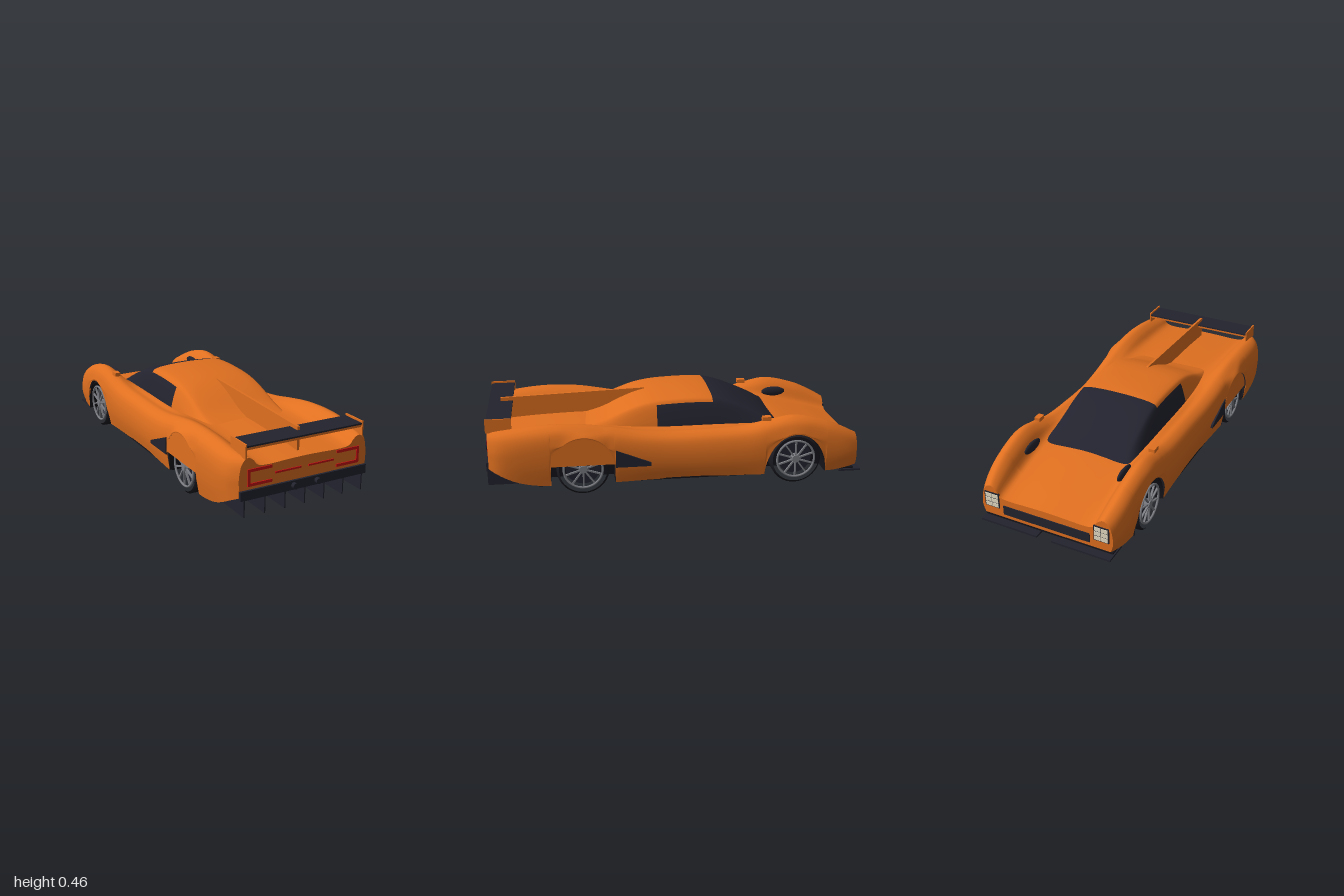
import * as THREE from 'three';

const mat = (name, color, side = THREE.FrontSide) => {
  const m = new THREE.MeshStandardMaterial({ color, side });
  m.name = name;
  return m;
};

// Smooth interpolation through [z, value] keys
function track(keys) {
  const slope = i => {
    const a = keys[Math.max(i - 1, 0)], b = keys[Math.min(i + 1, keys.length - 1)];
    return (b[1] - a[1]) / (b[0] - a[0]);
  };
  return z => {
    let i = 0;
    while (i < keys.length - 2 && z > keys[i + 1][0]) i++;
    const [z0, v0] = keys[i], [z1, v1] = keys[i + 1], h = z1 - z0;
    const t = Math.min(Math.max((z - z0) / h, 0), 1), t2 = t * t, t3 = t2 * t;
    return (2 * t3 - 3 * t2 + 1) * v0 + (t3 - 2 * t2 + t) * h * slope(i)
      + (3 * t2 - 2 * t3) * v1 + (t3 - t2) * h * slope(i + 1);
  };
}

// Skin rows of points; pick(row, column) chooses the material group
function skin(rows, pick = () => 0) {
  const n = rows[0].length, lists = [[], []];
  for (let i = 0; i < rows.length - 1; i++) {
    for (let j = 0; j < n - 1; j++) {
      const a = i * n + j, b = a + n;
      lists[pick(i, j)].push(a, a + 1, b, a + 1, b + 1, b);
    }
  }
  const g = new THREE.BufferGeometry().setFromPoints(rows.flat());
  g.setIndex([...lists[0], ...lists[1]]);
  g.addGroup(0, lists[0].length, 0);
  g.addGroup(lists[0].length, lists[1].length, 1);
  g.computeVertexNormals();
  return g;
}

// Mirror a half section (outer edge to centre) and smooth it
function section(half, z, steps) {
  const pts = half.map(p => new THREE.Vector2(...p));
  const other = half.slice(0, -1).reverse().map(([x, y]) => new THREE.Vector2(-x, y));
  return new THREE.SplineCurve([...pts, ...other]).getPoints(steps).map(p => new THREE.Vector3(p.x, p.y, z));
}

export function createModel() {
  const car = new THREE.Group();
  const paint = mat('orange paint', 0xe07020, THREE.DoubleSide);
  const dark = mat('dark trim', 0x23232f, THREE.DoubleSide);
  const under = mat('black underside', 0x15151b, THREE.DoubleSide);
  const tyreMat = mat('tyre rubber', 0x1b1b22);
  const metal = mat('wheel grey', 0x7c7e84);
  const red = mat('tail light red', 0xcc1212);
  const cream = mat('headlight cream', 0xe2dac2);

  const add = (name, geo, material, x = 0, y = 0, z = 0, parent = car) => {
    const m = new THREE.Mesh(geo, material);
    m.name = name;
    m.position.set(x, y, z);
    parent.add(m);
    return m;
  };
  // Box given by its limits
  const box = (name, m, x0, x1, y0, y1, z0, z1) => add(name,
    new THREE.BoxGeometry(Math.abs(x1 - x0), y1 - y0, z1 - z0), m, (x0 + x1) / 2, (y0 + y1) / 2, (z0 + z1) / 2);
  // Plate drawn in [z, y], with its thickness along x
  const sidePlate = (name, m, pts, x, depth) => {
    const g = new THREE.ExtrudeGeometry(new THREE.Shape(pts.map(([z, y]) => new THREE.Vector2(-z, y))),
      { depth, bevelEnabled: false });
    g.rotateY(Math.PI / 2).translate(x - depth / 2, 0, 0);
    return add(name, g, m);
  };

  // Body shell, with wheel arches cut into its lower edge
  const arches = [{ z: -0.63, base: 0.06, h: 0.22 }, { z: 0.49, base: 0.145, h: 0.165 }];
  const R = 0.165, Z0 = -0.972, Z1 = 0.968;
  const width = track([[Z0, 0.362], [-0.93, 0.377], [-0.85, 0.39], [-0.6, 0.401], [-0.3, 0.39], [0, 0.386],
    [0.25, 0.395], [0.5, 0.405], [0.8, 0.403], [0.92, 0.386], [Z1, 0.354]]);
  const fender = track([[Z0, 0.247], [-0.9, 0.287], [-0.8, 0.332], [-0.63, 0.37], [-0.5, 0.35], [-0.36, 0.316],
    [-0.15, 0.304], [0.05, 0.302], [0.2, 0.317], [0.35, 0.345], [0.5, 0.368], [0.7, 0.372], [Z1, 0.343]]);
  const deck = track([[Z0, 0.185], [-0.8, 0.235], [-0.56, 0.287], [-0.3, 0.298], [0.1, 0.3], [0.4, 0.318], [0.7, 0.312], [Z1, 0.293]]);
  const hem = track([[Z0, 0.078], [-0.82, 0.06], [0, 0.06], [0.66, 0.06], [0.82, 0.085], [Z1, 0.155]]);
  const bottom = z => {
    for (const a of arches) {
      const u = (z - a.z) / R;
      if (Math.abs(u) <= 1) return a.base + a.h * Math.sqrt(Math.max(0, 1 - u * u));
    }
    return hem(z);
  };
  const stations = [];
  for (let i = 0; i <= 64; i++) {
    const z = Z0 + (Z1 - Z0) * i / 64;
    if (arches.every(a => Math.abs(z - a.z) > R + 0.002)) stations.push(z);
  }
  for (const a of arches) {
    stations.push(a.z - R - 0.001, a.z + R + 0.001);
    for (let i = 0; i <= 24; i++) stations.push(a.z - 0.99999 * R * Math.cos(Math.PI * i / 24));
  }
  stations.sort((a, b) => a - b);
  const bodyRows = stations.map(z => {
    const W = width(z), F = fender(z), D = deck(z), b = bottom(z), m = Math.max(F - 0.09, b + 0.012);
    const across = t => 0.25 + (W - 0.25) * t;
    const tuck = 0.016 * Math.min(1, Math.max(0, (0.15 - b) / 0.09));
    return section([[W - tuck, b], [W, (m + b) / 2], [W, m], [across(0.87), F - 0.028], [across(0.57), F],
      [across(0.28), D + (F - D) * 0.7], [0.255, D + 0.008], [0.2, D], [0.1, D + 0.003], [0, D + 0.005]], z, 72);
  });
  add('bodyShell', skin(bodyRows), paint);
  const cap = row => new THREE.ShapeGeometry(new THREE.Shape(row.map(p => new THREE.Vector2(p.x, p.y))));
  add('tailPanel', cap(bodyRows.at(-1)), paint, 0, 0, Z1);
  const mirrored = bodyRows[0].map(p => new THREE.Vector3(-p.x, p.y, 0));
  add('nosePanel', cap(mirrored).rotateY(Math.PI), paint, 0, 0, Z0);

  // Cabin: windscreen and side windows are glass cells of the same skin
  const roof = track([[-0.57, 0.286], [-0.5, 0.333], [-0.4, 0.386], [-0.3, 0.43], [-0.21, 0.454], [-0.1, 0.459],
    [0, 0.456], [0.09, 0.449], [0.18, 0.43], [0.27, 0.395], [0.36, 0.352], [0.46, 0.322], [0.6, 0.29]]);
  const cabinZ = [];
  for (let i = 0; i < 12; i++) cabinZ.push(-0.57 + 0.03 * i);
  for (let i = 0; i < 10; i++) cabinZ.push(-0.21 + 0.03 * i);
  for (let i = 0; i <= 17; i++) cabinZ.push(0.09 + 0.03 * i);
  const cabinRows = cabinZ.map(z => {
    const rise = f => 0.28 + (roof(z) - 0.28) * f;
    return section([[0.26, rise(0)], [0.25, rise(0.32)], [0.223, rise(0.8)], [0.19, rise(0.93)],
      [0.1, rise(0.985)], [0, rise(1)]], z, 40);
  });
  add('cabin', skin(cabinRows, (i, j) => (i < 12 || (i < 22 && (j < 8 || j >= 32))) ? 1 : 0), [paint, dark]);

  // Floor, rear ramp and diffuser fins
  box('floor', under, -0.27, 0.27, 0.056, 0.17, -0.94, 0.7);
  for (const [z0, z1, w] of [[-0.96, -0.795, 0.355], [-0.465, 0.325, 0.372], [0.655, 0.72, 0.38]])
    box('floorEdge', under, -w, w, 0.056, 0.064, z0, z1);
  add('diffuserRamp', skin([[0.38, 0.06, 0.7], [0.345, 0.15, 0.966]].map(([x, y, z]) =>
    [new THREE.Vector3(x, y, z), new THREE.Vector3(-x, y, z)])), under);
  for (let i = 0; i < 7; i++)
    sidePlate('diffuserFin', dark, [[0.72, 0.058], [0.978, 0.058], [0.978, 0.145]], -0.33 + 0.11 * i, 0.006);

  // Tail: bumper bar, exhausts and lights
  box('rearBumper', dark, -0.352, 0.352, 0.142, 0.188, 0.95, 0.98);
  for (const s of [-1, 1]) {
    add('exhaust', new THREE.CylinderGeometry(0.015, 0.015, 0.04, 20).rotateX(Math.PI / 2), dark, s * 0.065, 0.165, 0.98);
    const light = (x0, x1, y0, y1) => box('tailLight', red, s * x0, s * x1, y0, y1, 0.966, 0.973);
    light(0.18, 0.31, 0.274, 0.288);
    light(0.18, 0.31, 0.204, 0.218);
    light(0.297, 0.31, 0.218, 0.274);
    light(0.02, 0.164, 0.241, 0.25);
  }

  // Wing and central spine
  box('wingUnderside', paint, -0.32, 0.32, 0.381, 0.394, 0.85, 0.968);
  box('wingTop', dark, -0.32, 0.32, 0.394, 0.402, 0.845, 0.972);
  for (const s of [-1, 1]) box('wingEndplate', paint, s * 0.319, s * 0.326, 0.34, 0.412, 0.843, 0.976);
  sidePlate('spineFin', paint, [[0.1, 0.42], [0.5, 0.3], [0.91, 0.29], [0.91, 0.42], [0.14, 0.446]], 0, 0.013);

  // Nose: grille, headlights and splitter
  box('grille', dark, -0.24, 0.24, 0.1, 0.15, -0.977, -0.965);
  for (const s of [-1, 1]) {
    box('splitter', dark, s * 0.04, s * 0.36, 0.043, 0.053, -1, -0.88);
    box('splitterMount', dark, s * 0.16, s * 0.2, 0.05, 0.08, -0.95, -0.9);
    box('headlightFrame', dark, s * 0.262, s * 0.344, 0.126, 0.21, -0.976, -0.968);
    for (let r = 0; r < 3; r++) for (let c = 0; c < 2; c++) {
      const x = 0.267 + c * 0.037, y = 0.131 + r * 0.026;
      box('headlight', cream, s * x, s * (x + 0.034), y, y + 0.021, -0.979, -0.974);
    }
  }

  // Mirrors, vents, wheel wells, rear skirts and wheels
  const tyreGeo = new THREE.LatheGeometry([[0.124, -0.056], [0.136, -0.046], [0.136, 0.046], [0.124, 0.056]]
    .map(p => new THREE.Vector2(...p)), 40).rotateZ(Math.PI / 2);
  for (const s of [-1, 1]) {
    box('mirrorStalk', paint, s * 0.327, s * 0.335, 0.31, 0.35, -0.478, -0.468);
    box('mirrorHousing', paint, s * 0.315, s * 0.347, 0.345, 0.366, -0.5, -0.455);
    const vent = add('fenderVent', new THREE.SphereGeometry(1, 20, 12), dark, s * 0.261, 0.305, -0.66);
    vent.scale.set(0.014, 0.028, 0.07);
    sidePlate('sideIntake', dark, [[0.14, 0.148], [0.322, 0.148], [0.322, 0.242], [0.14, 0.166]], s * 0.397, 0.014);

    arches.forEach((a, k) => {
      const arc = [[a.z - R, 0.06]];
      for (let i = 0; i <= 24; i++) {
        const t = Math.PI * (1 - i / 24);
        arc.push([a.z + R * Math.cos(t), a.base + a.h * Math.sin(t)]);
      }
      arc.push([a.z + R, 0.06]);
      add('wheelWell', skin([0.272, 0.386].map(x => arc.map(([z, y]) => new THREE.Vector3(s * x, y, z)))), under);
      sidePlate('wellWall', under, arc, s * 0.272, 0.004);
      if (k === 1) sidePlate('wheelSkirt', paint, arc.filter(p => p[1] > 0.165), s * 0.396, 0.008);

      const wheel = new THREE.Group();
      wheel.name = 'wheel';
      wheel.position.set(s * 0.332, 0.14, a.z);
      wheel.scale.x = s;
      car.add(wheel);
      add('tyre', tyreGeo, tyreMat, 0, 0, 0, wheel);
      add('rimRing', new THREE.TorusGeometry(0.1, 0.006, 8, 40).rotateY(Math.PI / 2), metal, 0.054, 0, 0, wheel);
      add('brakeDisc', new THREE.CylinderGeometry(0.09, 0.09, 0.01, 32).rotateZ(Math.PI / 2), dark, 0.02, 0, 0, wheel);
      add('hub', new THREE.CylinderGeometry(0.02, 0.024, 0.03, 16).rotateZ(-Math.PI / 2), metal, 0.045, 0, 0, wheel);
      for (let i = 0; i < 10; i++) {
        const spoke = add('spoke', new THREE.BoxGeometry(0.01, 0.084, 0.008).translate(0, 0.057, 0), metal, 0.05, 0, 0, wheel);
        spoke.rotation.x = i * Math.PI / 5;
      }
    });
  }
  return car;
}
